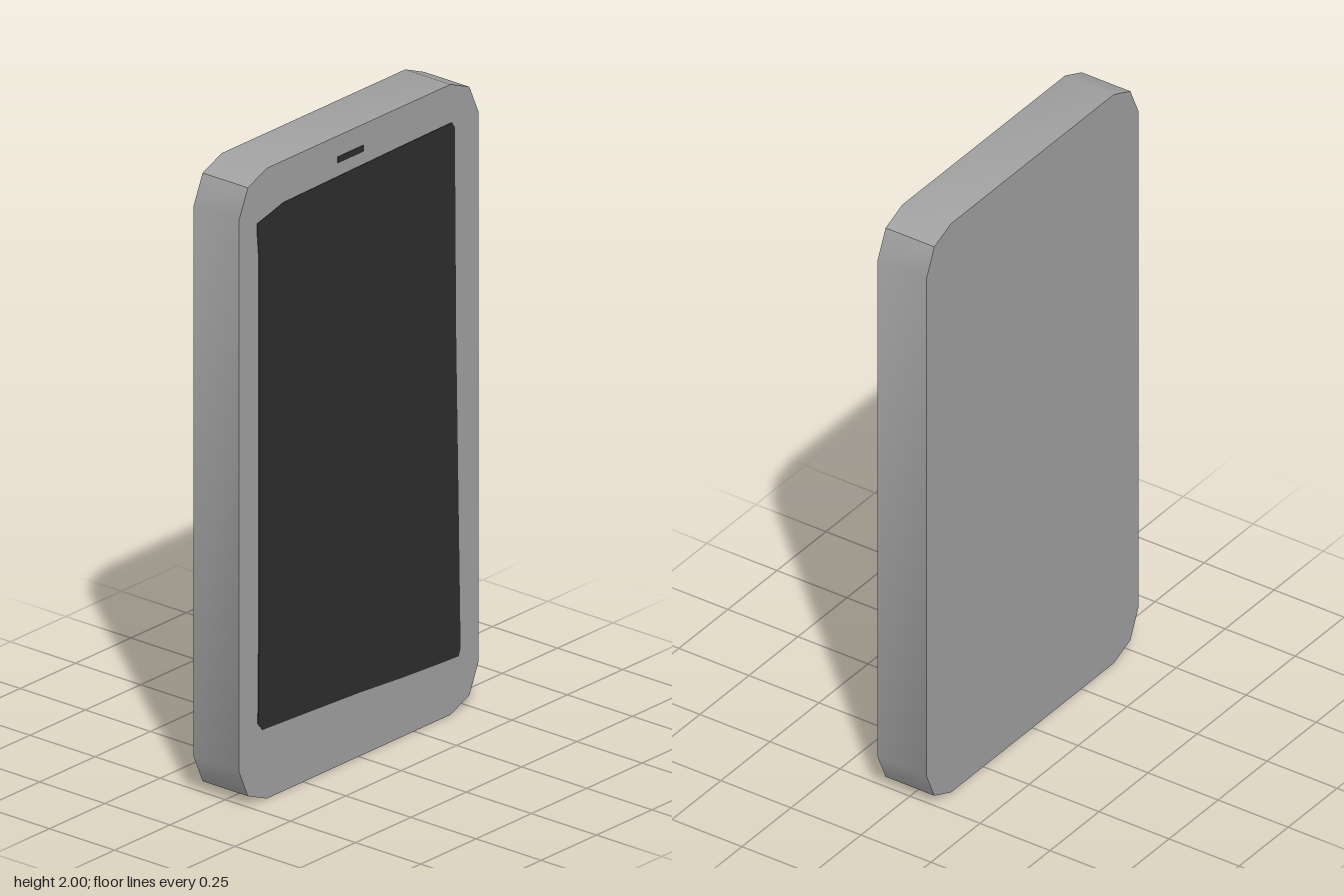
import * as THREE from 'three';
import { toCreasedNormals } from 'three/addons/utils/BufferGeometryUtils.js';

const HALF_DEPTH = 0.087;

const shapeFrom = (points) => new THREE.Shape(points.map(([x, y]) => new THREE.Vector2(x, y)));

function slab(name, points, depth, z, material) {
  const extruded = new THREE.ExtrudeGeometry(shapeFrom(points), { depth, bevelEnabled: false });
  extruded.translate(0, 0, z);
  // soften shallow bends, keep the rims and corner ridges sharp
  const mesh = new THREE.Mesh(toCreasedNormals(extruded, THREE.MathUtils.degToRad(32)), material);
  mesh.name = name;
  return mesh;
}

export function createModel() {
  const group = new THREE.Group();
  group.name = 'phone';

  const casing = new THREE.MeshStandardMaterial({ color: 0xa2a2a2 });
  casing.name = 'casing grey';
  const glass = new THREE.MeshStandardMaterial({ color: 0x2e2e2e });
  glass.name = 'glass black';

  // Casing: one cut corner mirrored into all four, counter-clockwise
  const corner = [[0.54, 0.875], [0.5, 0.965], [0.415, 1]];
  const outline = [];
  for (const [sx, sy] of [[1, 1], [-1, 1], [-1, -1], [1, -1]]) {
    const points = corner.map(([x, y]) => [sx * x, 1 + sy * y]);
    outline.push(...(sx * sy > 0 ? points : points.reverse()));
  }
  group.add(slab('body', outline, HALF_DEPTH * 2, -HALF_DEPTH, casing));

  // Screen: thin plate with a slightly irregular outline
  const screen = [
    [0.45, 0.175], [0.458, 0.2], [0.448, 0.7], [0.438, 1.2], [0.432, 1.86], [0.42, 1.878],
    [0.2, 1.876], [-0.34, 1.868], [-0.39, 1.855], [-0.46, 1.838], [-0.46, 1.82], [-0.453, 1.74],
    [-0.453, 0.5], [-0.456, 0.25], [-0.435, 0.225], [0, 0.203], [0.2, 0.188], [0.38, 0.178],
  ];
  group.add(slab('screen', screen, 0.002, HALF_DEPTH, glass));

  // Earpiece slot above the screen
  const slot = [[-0.095, 1.914], [0.022, 1.914], [0.022, 1.934], [-0.095, 1.934]];
  group.add(slab('earpiece', slot, 0.002, HALF_DEPTH, glass));

  return group;
}
